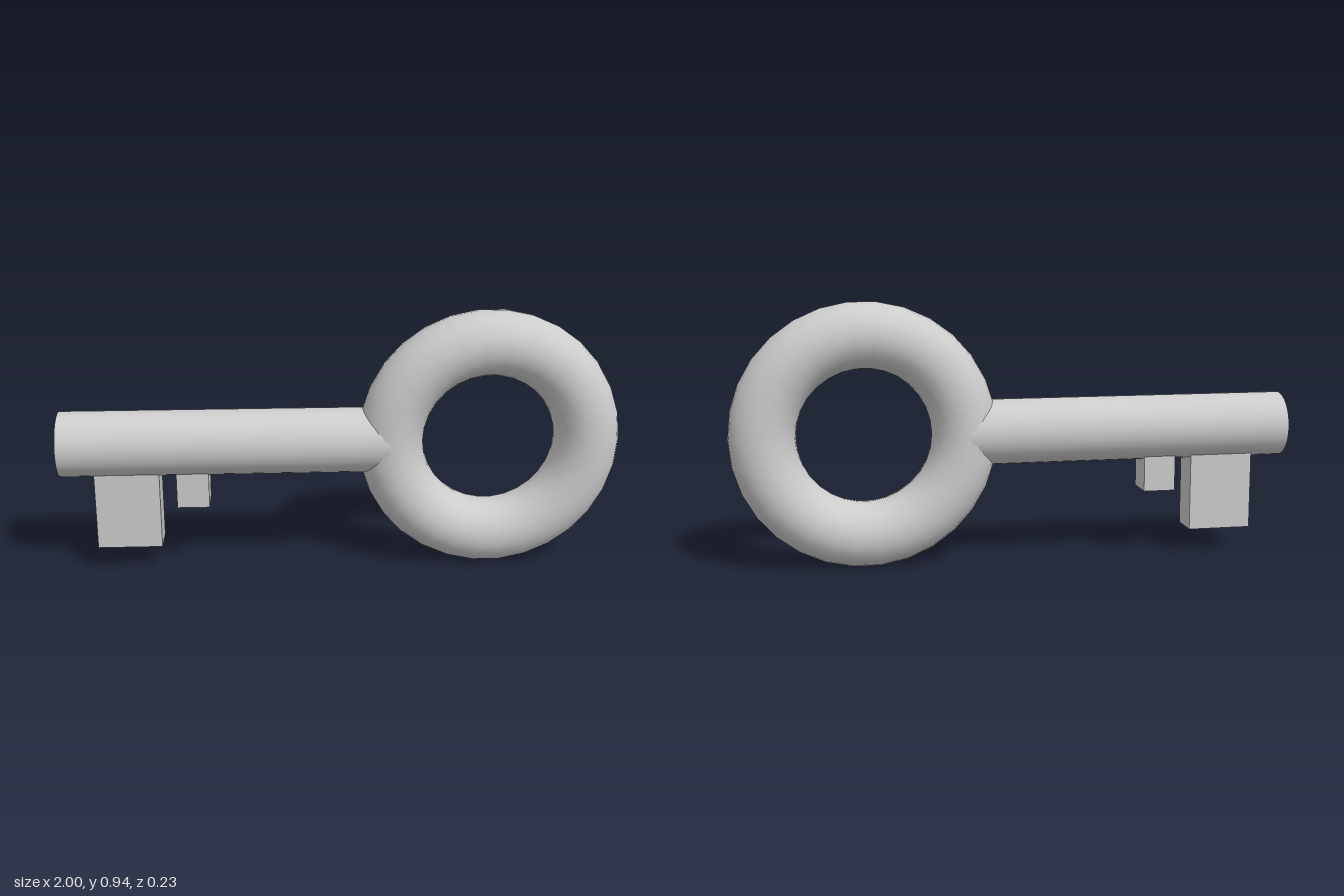
import * as THREE from 'three';

export function createModel() {
  const key = new THREE.Group();
  key.name = 'key';

  const steel = new THREE.MeshStandardMaterial({ color: 0xcccccc });
  steel.name = 'grey steel';

  const axisY = 0.468; // height of the shaft axis and ring centre
  const radius = 0.1168; // shared by shaft and ring tube

  const add = (name, geometry, x, y) => {
    const mesh = new THREE.Mesh(geometry, steel);
    mesh.name = name;
    mesh.position.set(x, y, 0);
    key.add(mesh);
    return mesh;
  };

  // Ring handle
  add('ringHandle', new THREE.TorusGeometry(0.3538, radius, 24, 30), 0.529, axisY);

  // Round shaft, running into the ring
  const start = -1, end = 0.18;
  const shaft = add('shaft', new THREE.CylinderGeometry(radius, radius, end - start, 32), (start + end) / 2, axisY);
  shaft.rotation.z = Math.PI / 2;

  // Two square teeth, sunk into the underside of the shaft
  const top = 0.42;
  for (const [name, left, right, bottom] of [
    ['largeTooth', -0.88, -0.65, 0.09],
    ['smallTooth', -0.59, -0.475, 0.24],
  ]) {
    add(name, new THREE.BoxGeometry(right - left, top - bottom, 0.117), (left + right) / 2, (top + bottom) / 2);
  }

  return key;
}
